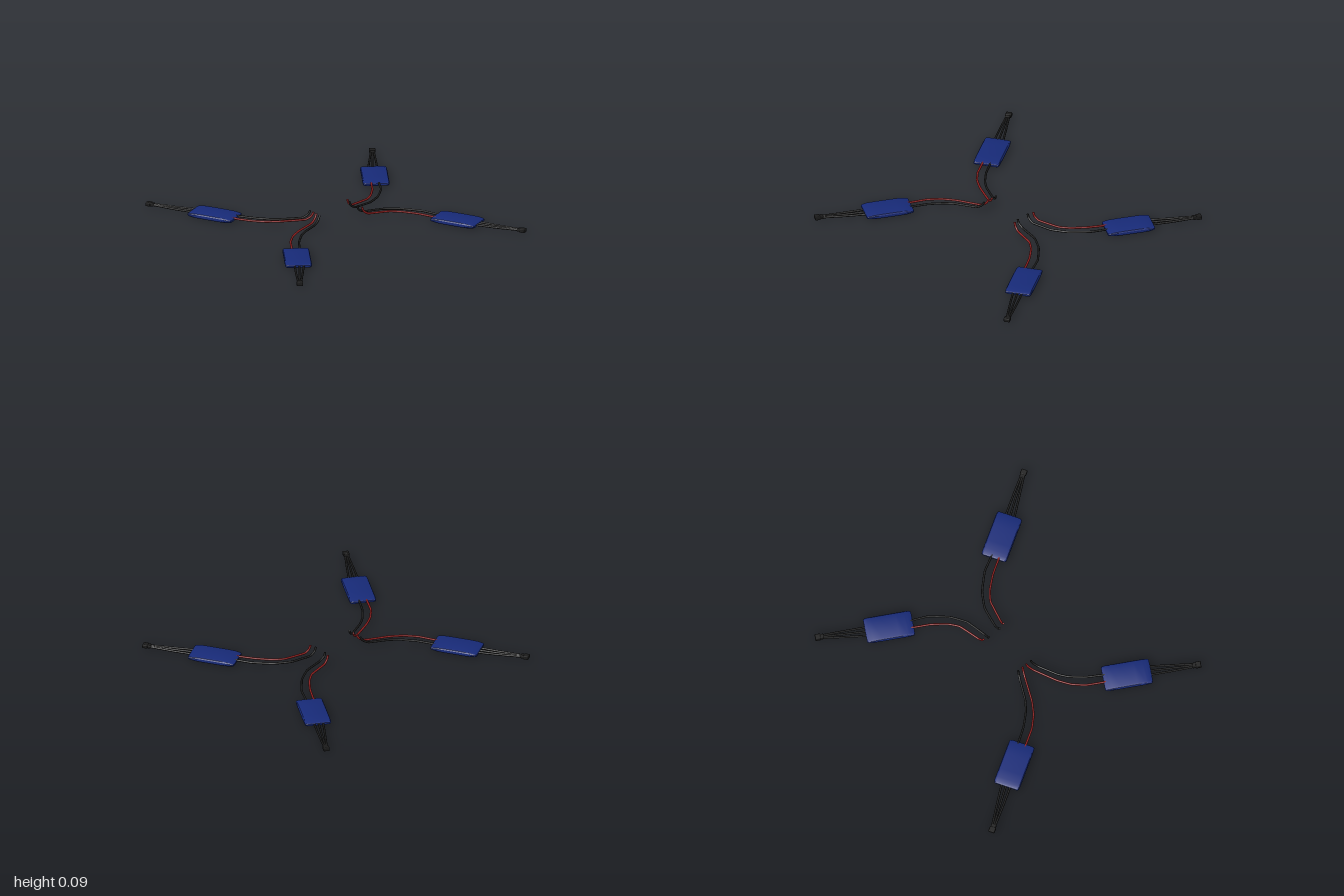
import * as THREE from 'three';
import { toCreasedNormals } from 'three/addons/utils/BufferGeometryUtils.js';
import { RoundedBoxGeometry } from 'three/addons/geometries/RoundedBoxGeometry.js';

const mat = (color) => new THREE.MeshStandardMaterial({ color });
const blue = mat(0x172a78), black = mat(0x1a1a1a), red = mat(0x8e1f1f);
const MID_Y = 0.02; // height of the module's mid-plane

function addMesh(parent, name, geometry, material) {
  const mesh = new THREE.Mesh(geometry, material);
  mesh.name = name;
  parent.add(mesh);
  return mesh;
}

// Wire with closed ends, following a list of [x, y, z] points
function addWire(parent, name, points, radius, material) {
  const pts = points.map((p) => new THREE.Vector3(...p));
  const curve = new THREE.CatmullRomCurve3(pts, false, 'catmullrom', 0.15);
  const wire = addMesh(parent, name, new THREE.TubeGeometry(curve, 40, radius, 8), material);
  [0, 1].forEach((t) => {
    const cap = addMesh(wire, 'wireEnd', new THREE.CircleGeometry(radius, 8), material);
    cap.position.copy(curve.getPointAt(t));
    const out = curve.getTangentAt(t).multiplyScalar(t ? 1 : -1);
    cap.quaternion.setFromUnitVectors(new THREE.Vector3(0, 0, 1), out);
  });
}

// Shrink-wrapped case: chamfered cross-sections lofted along z, thinner at the ends
function caseGeometry() {
  const stations = [ // z, half width, half height
    [-0.173, 0.083, 0.007], [-0.167, 0.092, 0.011], [-0.142, 0.095, 0.014], [-0.12, 0.095, 0.018],
    [-0.06, 0.095, 0.02], [0.06, 0.095, 0.02], [0.125, 0.095, 0.018], [0.145, 0.095, 0.014],
    [0.167, 0.092, 0.011], [0.173, 0.083, 0.007],
  ];
  const section = (w, h) => [
    [w, -0.4 * h], [w, 0.4 * h], [w - 0.005, 0.8 * h], [w - 0.016, h],
    [-w + 0.016, h], [-w + 0.005, 0.8 * h], [-w, 0.4 * h], [-w, -0.4 * h],
    [-w + 0.005, -0.8 * h], [-w + 0.016, -h], [w - 0.016, -h], [w - 0.005, -0.8 * h],
  ];
  const n = 12, last = (stations.length - 1) * n;
  const positions = [], index = [];
  for (const [z, w, h] of stations) for (const [x, y] of section(w, h)) positions.push(x, y, z);
  for (let s = 0; s < stations.length - 1; s++) {
    for (let i = 0; i < n; i++) {
      const a = s * n + i, b = s * n + (i + 1) % n;
      index.push(a, b, b + n, a, b + n, a + n);
    }
  }
  for (let i = 1; i < n - 1; i++) {
    index.push(0, i + 1, i, last, last + i, last + i + 1);
  }
  const geometry = new THREE.BufferGeometry();
  geometry.setAttribute('position', new THREE.Float32BufferAttribute(positions, 3));
  geometry.setIndex(index);
  return toCreasedNormals(geometry, 0.5);
}

// Power lead routes on the +z side; the last point ends inside the case
const routes = {
  right: {
    red: [[-0.18, 0.09, 0.013], [-0.196, 0.06, 0.02], [-0.235, 0.037, 0.038], [-0.4, 0.034, 0.114],
      [-0.487, 0.032, 0.172], [-0.56, 0.03, 0.25], [-0.635, 0.025, 0.38]],
    black: [[-0.18, 0.09, 0.055], [-0.196, 0.06, 0.062], [-0.235, 0.037, 0.081], [-0.365, 0.034, 0.146],
      [-0.434, 0.032, 0.198], [-0.513, 0.03, 0.288], [-0.59, 0.025, 0.411]],
  },
  left: {
    red: [[0.16, 0.09, 0.089], [0.172, 0.06, 0.092], [0.205, 0.037, 0.1], [0.36, 0.034, 0.14],
      [0.43, 0.032, 0.193], [0.508, 0.03, 0.288], [0.587, 0.025, 0.42]],
    black: [[0.148, 0.09, 0.046], [0.16, 0.06, 0.046], [0.2, 0.037, 0.046], [0.35, 0.034, 0.077],
      [0.46, 0.032, 0.146], [0.566, 0.03, 0.262], [0.63, 0.025, 0.39]],
  },
};

export function createModel() {
  const model = new THREE.Group();
  model.name = 'speedControllers';
  const caseGeo = caseGeometry();
  const plugGeo = new RoundedBoxGeometry(0.046, 0.028, 0.04, 1, 0.006);
  const collarGeo = new RoundedBoxGeometry(0.038, 0.022, 0.03, 1, 0.005);

  for (const side of ['right', 'left']) {
    for (const sz of [1, -1]) {
      const sx = side === 'left' ? 1 : -1;
      const flipZ = (z) => (sz > 0 ? z : -z - 0.008);
      const unit = new THREE.Group();
      unit.name = `${side}${sz > 0 ? 'Front' : 'Back'}Controller`;
      model.add(unit);

      // Case, motor wires and plug share a frame whose +z points outwards
      const arm = new THREE.Group();
      arm.name = 'controllerArm';
      arm.position.set(sx * 0.687, MID_Y, flipZ(0.523));
      arm.rotation.y = Math.atan2(sx * 0.5, sz * 0.866);
      unit.add(arm);
      addMesh(arm, 'controllerCase', caseGeo, blue);

      const lateral = sx * sz * 0.016;
      for (const k of [-1, 0, 1]) {
        addWire(arm, 'motorWire', [
          [k * 0.033 - lateral * 0.3, 0, 0.15],
          [k * 0.024 + lateral * 0.3, -0.002, 0.3],
          [k * 0.01 + lateral, 0, 0.49],
        ], 0.0075, black);
      }
      addMesh(arm, 'plugCollar', collarGeo, black).position.set(lateral, 0, 0.485);
      addMesh(arm, 'plug', plugGeo, black).position.set(lateral, 0, 0.513);

      // Red and black power leads
      for (const [color, material] of [['red', red], ['black', black]]) {
        const points = routes[side][color].map(([x, y, z]) => [x, y, flipZ(z)]);
        addWire(unit, `${color}PowerLead`, points, 0.0078, material);
      }
    }
  }
  return model;
}
